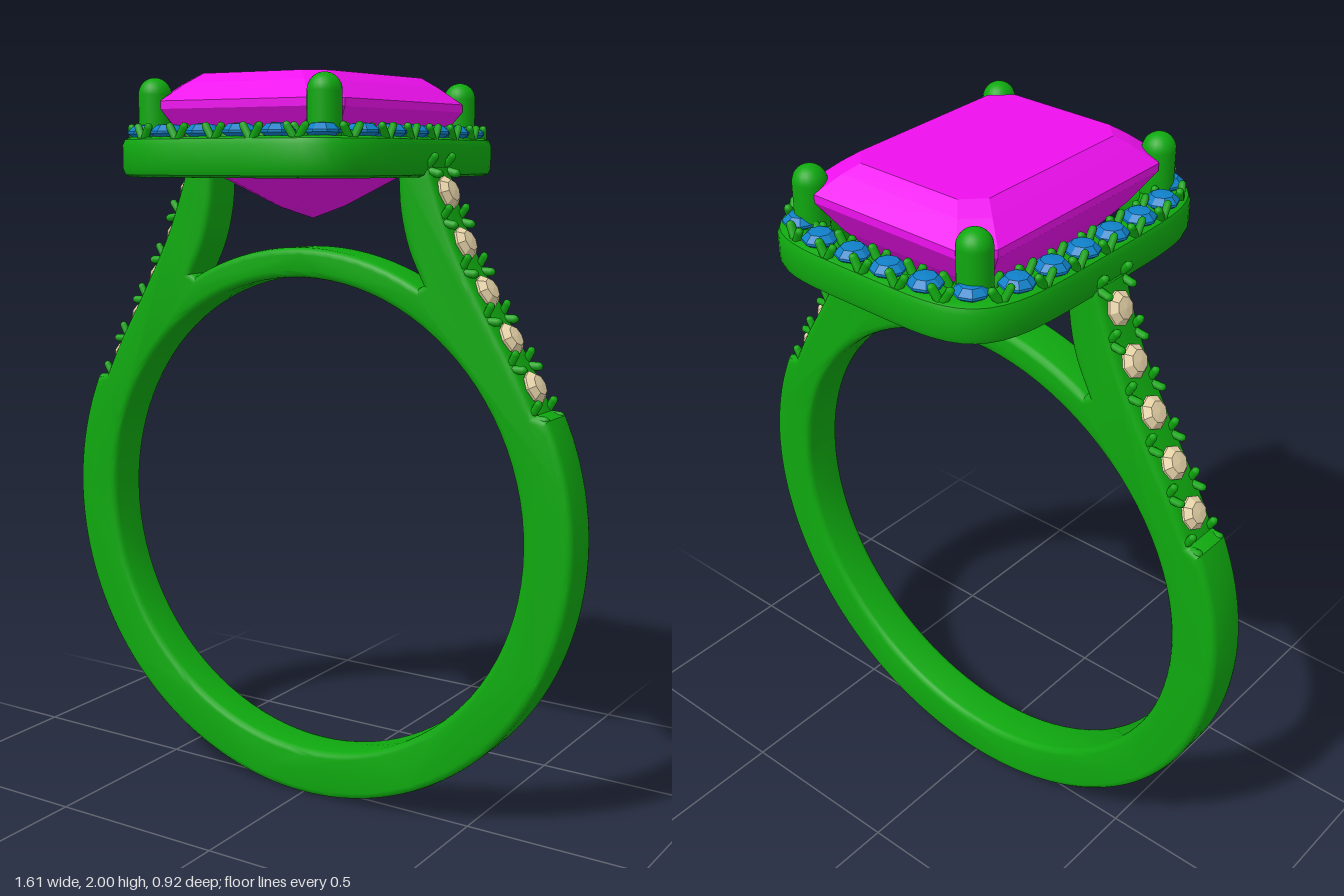
import * as THREE from 'three';
import { toCreasedNormals } from 'three/addons/utils/BufferGeometryUtils.js';

const mat = (color, flatShading = false) => new THREE.MeshStandardMaterial({ color, flatShading });
const V2 = (x, y) => new THREE.Vector2(x, y);
const V3 = (x, y, z) => new THREE.Vector3(x, y, z);
const UP = V3(0, 1, 0);

const metal = mat(0x0fa80f);
const blue = mat(0x1080c8, true);
const cream = mat(0xe6d3a8, true);
const magenta = mat(0xee10ee, true);

function add(parent, name, geometry, material) {
  const mesh = new THREE.Mesh(geometry, material);
  mesh.name = name;
  parent.add(mesh);
  return mesh;
}

const arc = (r, cy, a0, a1, n) => Array.from({ length: n + 1 }, (_, i) => {
  const a = a0 + (a1 - a0) * i / n;
  return V2(r * Math.cos(a), cy + r * Math.sin(a));
});

// Outer edge of the right shoulder, where the small stones sit
const shoulderEdge = new THREE.SplineCurve([
  V2(0.69, 1.16), V2(0.635, 1.265), V2(0.55, 1.405), V2(0.46, 1.565), V2(0.405, 1.7), V2(0.385, 1.765),
]);

// Band, both shoulders and the arch under the stone as one bevelled outline
function bandGeometry() {
  const inner = new THREE.SplineCurve([V2(0.293, 1.765), V2(0.3, 1.66), V2(0.325, 1.56), V2(0.37, 1.468)]);
  const half = [
    ...arc(0.803, 0.808, -Math.PI / 2, 0.44, 48),
    ...shoulderEdge.getSpacedPoints(24),
    ...inner.getSpacedPoints(12),
    ...arc(0.745, 0.808, 1.07, Math.PI / 2, 16),
  ];
  const mirrored = half.slice(1, -1).reverse().map((p) => V2(-p.x, p.y));
  const shape = new THREE.Shape([...half, ...mirrored]);
  shape.holes.push(new THREE.Path(arc(0.667, 0.806, 0, Math.PI * 2, 96).slice(0, -1)));
  const bevel = 0.018;
  const geo = new THREE.ExtrudeGeometry(shape, {
    depth: 0.126 - 2 * bevel, bevelSize: bevel, bevelThickness: bevel, bevelOffset: -bevel, bevelSegments: 3,
  });
  geo.translate(0, 0, -0.063 + bevel);
  return toCreasedNormals(geo, 0.6);
}

// Cushion outline with bowed sides and round corners
function cushion(w, d, count = 96, n = 4.6) {
  return Array.from({ length: count }, (_, i) => {
    const a = i / count * Math.PI * 2, c = Math.cos(a), s = Math.sin(a);
    const r = (Math.abs(c / w) ** n + Math.abs(s / d) ** n) ** (-1 / n);
    return V2(r * c, r * s);
  });
}

function haloGeometry() {
  const shape = new THREE.Shape(cushion(0.38, 0.46));
  shape.holes.push(new THREE.Path(cushion(0.27, 0.35)));
  const geo = new THREE.ExtrudeGeometry(shape, {
    depth: 0.06, bevelSize: 0.02, bevelThickness: 0.02, bevelOffset: -0.02, bevelSegments: 2,
  });
  geo.rotateX(Math.PI / 2).translate(0, 1.82, 0);
  return toCreasedNormals(geo, 0.6);
}

// Step-cut stone: stacked rectangles with cut corners, [y, half width, half depth, cut]
function gemGeometry() {
  const rings = [
    [1.63, 0.001, 0.001, 0.0004], [1.66, 0.045, 0.11, 0.02], [1.74, 0.16, 0.24, 0.045],
    [1.83, 0.235, 0.315, 0.055], [1.91, 0.288, 0.368, 0.065], [1.93, 0.288, 0.368, 0.065],
    [1.975, 0.235, 0.315, 0.055], [2.0, 0.2, 0.28, 0.05],
  ];
  const pos = [], idx = [];
  for (const [y, w, d, c] of rings) {
    for (const [x, z] of [[w, d - c], [w - c, d], [c - w, d], [-w, d - c],
      [-w, c - d], [c - w, -d], [w - c, -d], [w, c - d]]) pos.push(x, y, z);
  }
  for (let r = 0; r < rings.length - 1; r++) {
    for (let i = 0; i < 8; i++) {
      const a = r * 8 + i, b = r * 8 + (i + 1) % 8;
      idx.push(a, a + 8, b, b, a + 8, b + 8);
    }
  }
  const top = (rings.length - 1) * 8;
  for (let i = 1; i < 7; i++) idx.push(0, i, i + 1, top, top + i + 1, top + i);
  const geo = new THREE.BufferGeometry();
  geo.setAttribute('position', new THREE.Float32BufferAttribute(pos, 3));
  geo.setIndex(idx);
  geo.computeVertexNormals();
  return geo;
}

const stoneGeo = new THREE.LatheGeometry(
  [V2(0, -0.03), V2(0.044, 0), V2(0.044, 0.006), V2(0.028, 0.021), V2(0, 0.024)], 8);
const clawGeo = new THREE.CapsuleGeometry(0.011, 0.035, 3, 6);

// Small stone on a surface with normal n
function addStone(parent, { p, n }, material) {
  const stone = add(parent, 'smallStone', stoneGeo, material);
  stone.position.copy(p);
  stone.quaternion.setFromUnitVectors(UP, n);
}

// Four splayed claws in the gap between two stones
function addClaws(parent, { p, n, t }, spread) {
  const across = t.clone().cross(n);
  for (const side of [-1, 1]) for (const lean of [-1, 1]) {
    const claw = add(parent, 'claw', clawGeo, metal);
    claw.position.copy(p).addScaledVector(across, side * spread).addScaledVector(t, lean * 0.013);
    claw.quaternion.setFromUnitVectors(UP, n.clone().addScaledVector(t, lean * 0.6).normalize());
  }
}

export function createModel() {
  const ring = new THREE.Group();
  ring.name = 'ring';
  add(ring, 'band', bandGeometry(), metal);
  add(ring, 'haloFrame', haloGeometry(), metal);
  add(ring, 'centreStone', gemGeometry(), magenta);

  // Corner prongs holding the centre stone
  for (const x of [-0.257, 0.257]) for (const z of [-0.345, 0.345]) {
    const prong = add(ring, 'cornerProng', new THREE.CapsuleGeometry(0.043, 0.14, 8, 20), metal);
    prong.position.set(x, 1.876, z);
  }

  // Halo stones, alternating with claws around the frame
  const halo = new THREE.Group();
  halo.name = 'haloStones';
  ring.add(halo);
  const path = new THREE.CatmullRomCurve3(cushion(0.334, 0.412).map((q) => V3(q.x, 1.848, q.y)), true);
  path.arcLengthDivisions = 800;
  for (let i = 0; i < 48; i++) {
    const frame = { p: path.getPointAt(i / 48), t: path.getTangentAt(i / 48), n: UP };
    if (i % 2) addStone(halo, frame, blue);
    else addClaws(halo, frame, 0.031);
  }

  // Shoulder stones and claws on both sides
  for (const side of [-1, 1]) {
    const row = new THREE.Group();
    row.name = side > 0 ? 'leftShoulderStones' : 'rightShoulderStones';
    ring.add(row);
    for (let i = 0; i <= 10; i++) {
      const q = shoulderEdge.getPointAt(i / 10), d = shoulderEdge.getTangentAt(i / 10);
      const n = V3(side * d.y, -d.x, 0);
      const frame = { p: V3(side * q.x, q.y, 0).addScaledVector(n, 0.002), t: V3(side * d.x, d.y, 0), n };
      if (i % 2) addStone(row, frame, cream);
      else addClaws(row, frame, 0.046);
    }
  }
  return ring;
}
